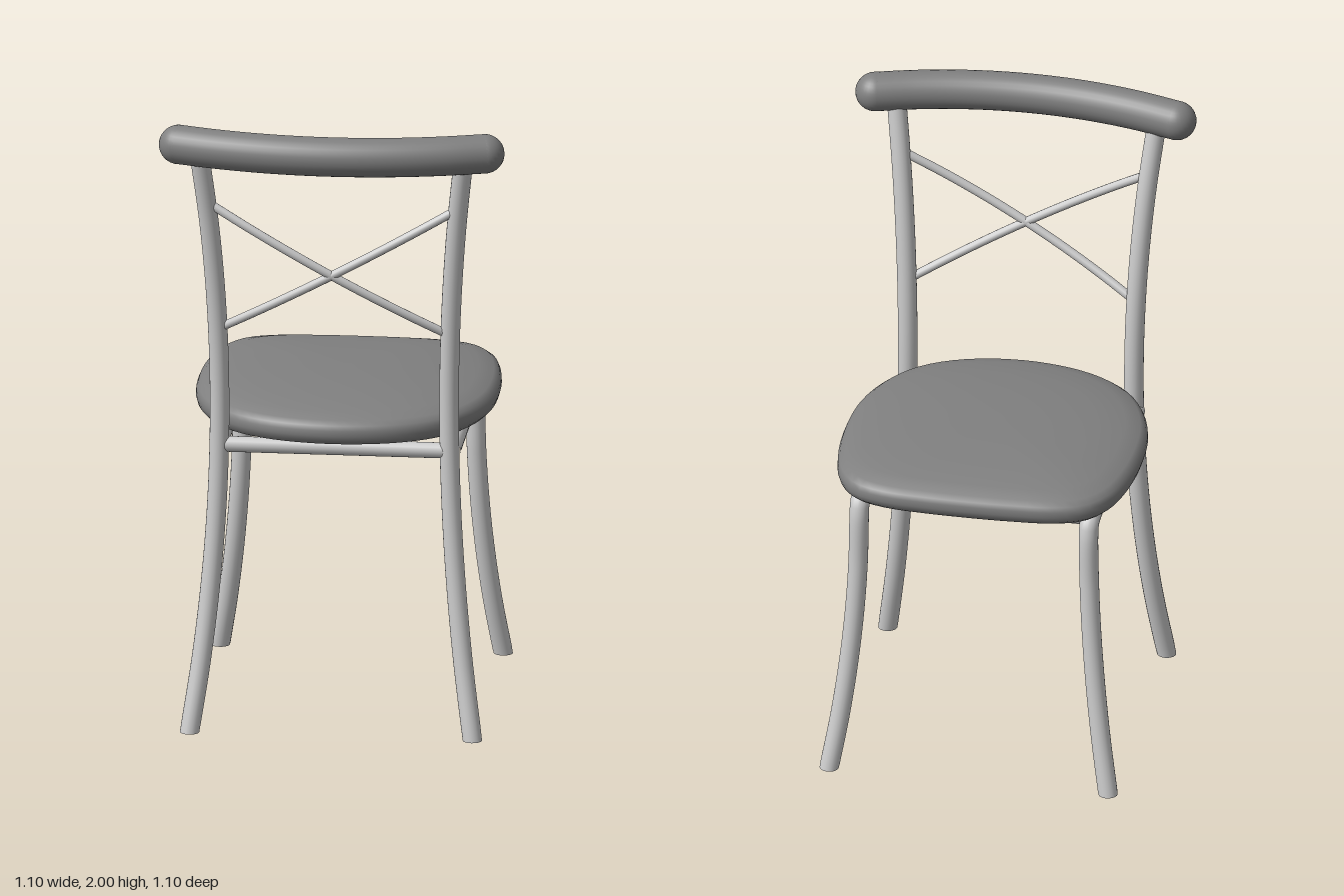
import * as THREE from 'three';
import { mergeVertices } from 'three/addons/utils/BufferGeometryUtils.js';

const frameMat = new THREE.MeshStandardMaterial({ color: 0xcccccc });
const padMat = new THREE.MeshStandardMaterial({ color: 0x808080 });
const V = (x, y, z) => new THREE.Vector3(x, y, z);

function add(parent, name, geometry, material = frameMat) {
  const mesh = new THREE.Mesh(geometry, material);
  mesh.name = name;
  parent.add(mesh);
  return mesh;
}

// Round tube along a smooth path
function tube(points, radius, segments = 40, sides = 20) {
  return new THREE.TubeGeometry(new THREE.CatmullRomCurve3(points), segments, radius, sides);
}

// Tube whose first ring is cut level with the floor
function leg(parent, name, points, radius, segments) {
  const sides = 20;
  const geometry = tube(points, radius, segments, sides);
  const pos = geometry.attributes.position;
  for (let i = 0; i <= sides; i++) pos.setY(i, 0);
  add(parent, name, geometry);
  const cap = add(parent, name + 'Foot', new THREE.CircleGeometry(radius, sides));
  cap.rotation.x = Math.PI / 2;
  cap.position.copy(points[0]);
}

// Domed cushion: a lathe whose circles are replaced by the seat outline
function cushionGeometry() {
  const half = [[0.2, 0.372], [0.335, 0.295], [0.415, 0.19], [0.466, 0.045], [0.48, -0.12],
    [0.468, -0.29], [0.435, -0.42], [0.376, -0.5], [0.28, -0.537], [0.14, -0.55]];
  const mirrored = half.map(([x, z]) => [-x, z]).reverse();
  const loop = [[0, 0.405], ...half, [0, -0.553], ...mirrored].map(([x, z]) => V(x, 0, z));
  const segments = 80;
  const outline = new THREE.CatmullRomCurve3(loop, true).getSpacedPoints(segments);
  const profile = [[0, 0.955], [0.93, 0.955], [0.965, 0.956], [0.99, 0.968], [1, 0.985], [0.998, 1.003],
    [0.985, 1.018], [0.95, 1.032], [0.85, 1.047], [0.65, 1.06], [0.4, 1.068], [0.2, 1.071], [0, 1.072]]
    .map(([r, y]) => new THREE.Vector2(r, y));
  const geometry = new THREE.LatheGeometry(profile, segments);
  const pos = geometry.attributes.position;
  const zc = -0.073;
  for (let v = 0; v < pos.count; v++) {
    const o = outline[Math.floor(v / profile.length)];
    const r = profile[v % profile.length].x;
    pos.setX(v, r * o.x);
    pos.setZ(v, zc + r * (o.z - zc));
  }
  geometry.deleteAttribute('uv');
  geometry.deleteAttribute('normal');
  const merged = mergeVertices(geometry, 1e-4);
  merged.computeVertexNormals();
  return merged;
}

export function createModel() {
  const group = new THREE.Group();
  group.name = 'chair';

  // Bowed back posts run from floor to top rail
  const postAt = (s, y) => V(s * (0.365 + 0.0755 * (y - 1.06) ** 2), y, 0.32 + 0.109 * (y - 0.98) ** 2);

  for (const s of [1, -1]) {
    const side = s > 0 ? 'left' : 'right';
    const post = [];
    for (let i = 0; i <= 8; i++) post.push(postAt(s, 1.92 * i / 8));
    leg(group, side + 'BackPost', post, 0.031, 40);

    // Flared front leg bends into the side rail
    const front = [];
    for (let i = 0; i <= 5; i++) {
      const y = 0.88 * i / 5, t = 1 - y / 0.88;
      front.push(V(s * (0.37 + 0.08 * t * t), y, -0.434 - 0.086 * t * t));
    }
    front.push(V(s * 0.37, 0.914, -0.423), V(s * 0.37, 0.925, -0.39), V(s * 0.37, 0.925, -0.1), V(s * 0.37, 0.925, 0.32));
    leg(group, side + 'FrontLegAndRail', front, 0.031, 90);
  }

  // Cross rails under the seat
  for (const [name, z] of [['backRail', 0.32], ['frontRail', -0.4]]) {
    const rail = add(group, name, new THREE.CylinderGeometry(0.025, 0.025, 0.74, 20));
    rail.rotation.z = Math.PI / 2;
    rail.position.set(0, 0.925, z);
  }

  // Crossed bars bow backwards between the posts
  for (const s of [1, -1]) {
    const low = postAt(-s, 1.31), high = postAt(s, 1.745);
    const points = [];
    for (let i = 0; i <= 6; i++) {
      const t = i / 6;
      const p = low.clone().lerp(high, t);
      p.z += 0.05 * 4 * t * (1 - t);
      points.push(p);
    }
    add(group, s > 0 ? 'crossBarA' : 'crossBarB', tube(points, 0.014, 32, 12));
  }

  // Curved padded top rail with round ends
  const crest = [];
  for (let i = -4; i <= 4; i++) crest.push(V(0.487 * i / 4, 1.9375, 0.488 - 0.085 * (i / 4) ** 2));
  add(group, 'topRail', tube(crest, 0.0625, 48, 28), padMat);
  for (const end of [crest[0], crest[8]]) {
    add(group, 'topRailEnd', new THREE.SphereGeometry(0.0625, 28, 18), padMat).position.copy(end);
  }

  add(group, 'seat', cushionGeometry(), padMat);
  return group;
}
